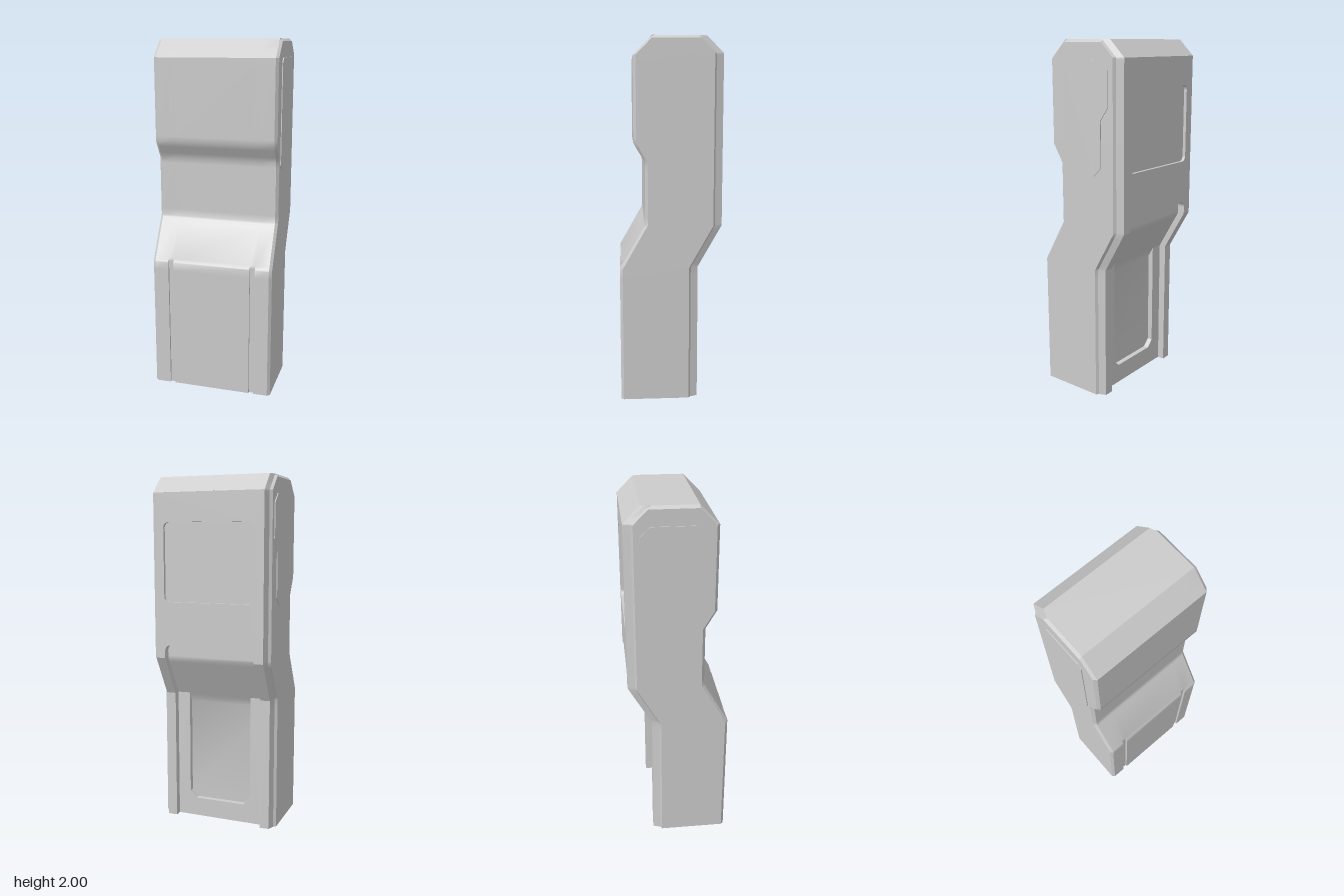
import * as THREE from 'three';
import { toCreasedNormals } from 'three/addons/utils/BufferGeometryUtils.js';

const material = new THREE.MeshStandardMaterial({ color: 0xcccccc });

// Piecewise-linear lookup in [y, value] pairs
function at(table, y) {
  for (let i = 1; i < table.length; i++) {
    const [y0, v0] = table[i - 1], [y1, v1] = table[i];
    if (y <= y1) return v0 + (v1 - v0) * (y - y0) / (y1 - y0);
  }
  return table[table.length - 1][1];
}

const FRONT = [[0, 0.28], [0.755, 0.28], [1.0, 0.14], [1.34, 0.14], [1.44, 0.2], [1.9, 0.2], [2, 0.1]];
const BACK = [[0, -0.15], [0.76, -0.15], [0.99, -0.28], [1.91, -0.28], [2, -0.19]];
const RECESS = [[0, 0.07], [0.707, 0.07], [0.76, 0.04], [1.91, 0.04], [1.9101, 0]];
const GROOVE = [[0, 0.013], [0.755, 0.013], [0.778, 0]];

// Horizontal cross-section, counter-clockwise seen from above
function section(y) {
  const f = at(FRONT, y), b = at(BACK, y), g = at(GROOVE, y), d = at(RECESS, y);
  const side = y > 1.99 ? 0.335 : 0.35;
  const half = [
    [0.225, f], [0.225, f - g], [0.255, f - g], [0.255, f],
    [0.335, f], [side, f - 0.015], [side, b + 0.05],
    [0.335, b + 0.04], [0.32, b], [0.32, b + d],
  ];
  return [...half, ...half.map(([x, z]) => [-x, z]).reverse()];
}

function bodyGeometry() {
  const levels = [0, 0.707, 0.755, 0.76, 0.778, 0.96, 0.99, 1.0, 1.04, 1.31, 1.34, 1.37,
    1.41, 1.44, 1.47, 1.87, 1.9, 1.91, 1.9101, 1.93, 1.985, 2];
  const rings = levels.map(section), n = rings[0].length;
  const pos = [], index = [];
  rings.forEach((ring, j) => ring.forEach(([x, z]) => pos.push(x, levels[j], z)));
  for (let j = 0; j < levels.length - 1; j++) {
    for (let i = 0; i < n; i++) {
      const a = j * n + i, b = j * n + (i + 1) % n;
      index.push(a, b, b + n, a, b + n, a + n);
    }
  }
  // Bottom and top caps
  const cap = (j) => THREE.ShapeUtils.triangulateShape(
    rings[j].map(([x, z]) => new THREE.Vector2(x, -z)), []);
  const last = levels.length - 1;
  cap(0).forEach(([a, b, c]) => index.push(a, c, b));
  cap(last).forEach((t) => index.push(...t.map((i) => i + last * n)));
  const geo = new THREE.BufferGeometry();
  geo.setAttribute('position', new THREE.Float32BufferAttribute(pos, 3));
  geo.setIndex(index);
  return toCreasedNormals(geo, 0.6);
}

const outline = (points) => new THREE.Shape(points.map(([u, v]) => new THREE.Vector2(u, v)));

// Plate in the xy plane whose outer face looks backward at z
function backPlate(shape, z, depth) {
  return new THREE.ExtrudeGeometry(shape, { depth, bevelEnabled: false, curveSegments: 4 })
    .translate(0, 0, z);
}

// Plate drawn in (z, y), spanning x to x + width
function sidePlate(points, x, width) {
  return new THREE.ExtrudeGeometry(outline(points), { depth: width, bevelEnabled: false })
    .rotateY(-Math.PI / 2).translate(x + width, 0, 0);
}

function roundedRect(w, y0, y1, r) {
  const p = new THREE.Path();
  p.absarc(w - r, y1 - r, r, 0, Math.PI / 2);
  p.absarc(-w + r, y1 - r, r, Math.PI / 2, Math.PI);
  p.absarc(-w + r, y0 + r, r, Math.PI, Math.PI * 1.5);
  p.absarc(w - r, y0 + r, r, Math.PI * 1.5, Math.PI * 2);
  p.closePath();
  return p;
}

export function createModel() {
  const model = new THREE.Group();
  const add = (name, geometry) => {
    const mesh = new THREE.Mesh(geometry, material);
    mesh.name = name;
    model.add(mesh);
  };

  add('body', bodyGeometry());

  // Upper back face: screen opening, and the rounded head of the lower channel
  const upper = new THREE.Shape();
  const w = 0.265, r = 0.035, top = 1.065;
  upper.moveTo(-0.32, 0.99);
  upper.lineTo(-w, 0.99);
  upper.lineTo(-w, top - r);
  upper.absarc(-w + r, top - r, r, Math.PI, Math.PI / 2, true);
  upper.absarc(w - r, top - r, r, Math.PI / 2, 0, true);
  upper.lineTo(w, 0.99);
  upper.lineTo(0.32, 0.99);
  upper.lineTo(0.32, 1.91);
  upper.lineTo(-0.32, 1.91);
  upper.holes.push(roundedRect(w, 1.31, 1.75, 0.03));
  add('upperBackFrame', backPlate(upper, -0.28, 0.04));
  add('screen', new THREE.BoxGeometry(0.54, 0.45, 0.022).translate(0, 1.53, -0.251));

  // Lower channel floor with a panel recess that opens into the slope above
  add('channelFloor', backPlate(outline([
    [-w, 0], [w, 0], [w, 0.76], [0.19, 0.76], [0.19, 0.15], [0.15, 0.11],
    [-0.15, 0.11], [-0.19, 0.15], [-0.19, 0.76], [-w, 0.76],
  ]), -0.11, 0.03));

  // Rails beside the channel, following the bend
  const rail = [[-0.15, 0], [-0.08, 0], [-0.08, 0.707], [-0.11, 0.76],
    [-0.24, 0.99], [-0.28, 0.99], [-0.15, 0.76]];
  add('leftRail', sidePlate(rail, w, 0.055));
  add('rightRail', sidePlate(rail, -0.32, 0.055));

  // Thin raised panels on both sides of the head
  const panel = [[0.105, 1.875], [0.08, 1.9], [-0.145, 1.9], [-0.2, 1.85], [-0.2, 1.66],
    [-0.15, 1.59], [-0.15, 1.34], [-0.1, 1.29], [0.075, 1.29], [0.105, 1.32]];
  add('leftSidePanel', sidePlate(panel, 0.345, 0.01));
  add('rightSidePanel', sidePlate(panel, -0.355, 0.01));

  return model;
}
